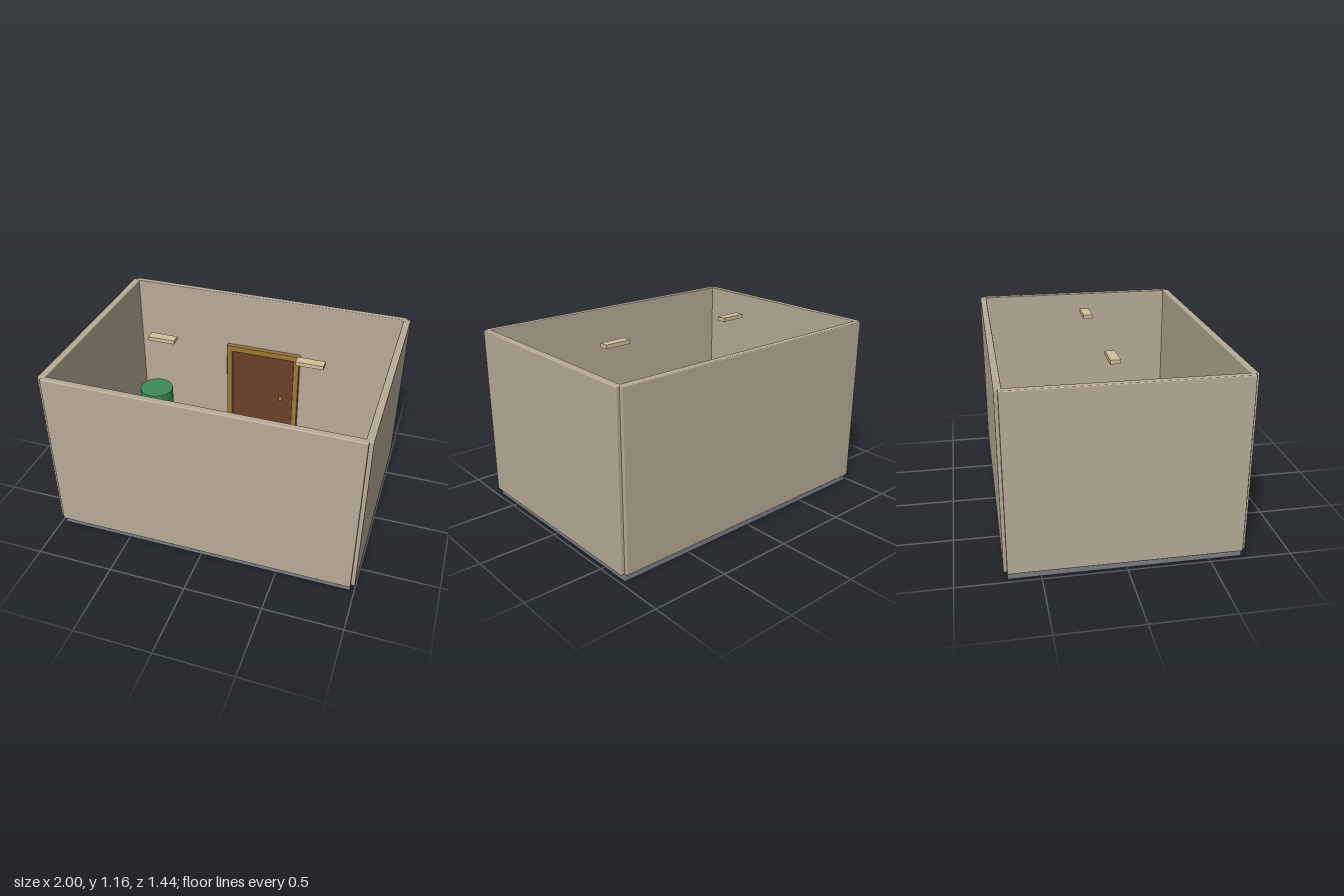
import * as THREE from 'three';
import { RoundedBoxGeometry } from 'three/addons/geometries/RoundedBoxGeometry.js';

const mat = (color) => new THREE.MeshStandardMaterial({ color });
const WALL = mat(0xb8ab98), FLOOR = mat(0x7b7f84), TRIM = mat(0x9c7834);
const WOOD = mat(0x7a4529), DOOR = mat(0x6e3f29), LEAF = mat(0x3f8b58);
const LIGHT = mat(0xd2c29c), METAL = mat(0xb08d3c);

export function createModel() {
  const room = new THREE.Group();
  room.name = 'room';

  // Box given by its min and max corners, optionally with eased edges
  const box = (name, material, [x0, y0, z0], [x1, y1, z1], bevel = 0, parent = room) => {
    const size = [x1 - x0, y1 - y0, z1 - z0];
    const geometry = bevel
      ? new RoundedBoxGeometry(...size, 2, bevel)
      : new THREE.BoxGeometry(...size);
    const mesh = new THREE.Mesh(geometry, material);
    mesh.position.set((x0 + x1) / 2, (y0 + y1) / 2, (z0 + z1) / 2);
    mesh.name = name;
    parent.add(mesh);
    return mesh;
  };

  // Floor slab and the four walls
  box('floor', FLOOR, [-0.975, 0, -0.697], [0.975, 0.05, 0.697], 0.006);
  box('backWall', WALL, [-0.975, 0.05, -0.718], [0.975, 1.16, -0.675], 0.006);
  box('frontWall', WALL, [-0.975, 0.05, 0.675], [0.975, 1.16, 0.718], 0.006);
  box('rightWall', WALL, [-1, 0.05, -0.697], [-0.955, 1.16, 0.697], 0.006);
  box('leftWall', WALL, [0.955, 0.05, -0.697], [1, 1.16, 0.697], 0.006);

  // Skirting along the back and both sides
  box('backSkirting', TRIM, [-0.955, 0.05, -0.675], [0.955, 0.11, -0.656], 0.003);
  box('rightSkirting', TRIM, [-0.955, 0.05, -0.675], [-0.938, 0.11, 0.675], 0.003);
  box('leftSkirting', TRIM, [0.938, 0.05, -0.675], [0.955, 0.11, 0.675], 0.003);

  // Door with its frame and knob
  const door = new THREE.Group();
  door.name = 'door';
  room.add(door);
  box('doorPanel', DOOR, [-0.235, 0.05, -0.675], [0.235, 0.72, -0.653], 0.003, door);
  box('doorJambRight', TRIM, [-0.273, 0.05, -0.678], [-0.232, 0.76, -0.64], 0.005, door);
  box('doorJambLeft', TRIM, [0.232, 0.05, -0.678], [0.273, 0.76, -0.64], 0.005, door);
  box('doorHeader', TRIM, [-0.273, 0.715, -0.678], [0.273, 0.76, -0.64], 0.005, door);
  const knob = new THREE.Mesh(new THREE.SphereGeometry(0.014, 16, 12), METAL);
  knob.name = 'doorKnob';
  knob.position.set(0.145, 0.38, -0.636);
  door.add(knob);

  // Counter
  const counter = new THREE.Group();
  counter.name = 'counter';
  room.add(counter);
  box('counterBody', WOOD, [-0.47, 0.05, -0.315], [0.47, 0.345, -0.14], 0.005, counter);
  box('counterTop', WOOD, [-0.483, 0.34, -0.326], [0.483, 0.375, -0.125], 0.008, counter);

  // Potted plant in the back corner
  const plant = new THREE.Group();
  plant.name = 'plant';
  plant.position.set(-0.782, 0.05, -0.475);
  room.add(plant);
  const pot = new THREE.Mesh(new THREE.CylinderGeometry(0.085, 0.065, 0.12, 24), WOOD);
  pot.name = 'pot';
  pot.position.y = 0.06;
  const foliage = new THREE.Mesh(new THREE.CylinderGeometry(0.122, 0.122, 0.22, 32), LEAF);
  foliage.name = 'foliage';
  foliage.position.y = 0.23;
  plant.add(pot, foliage);

  // Pair of hanging light panels
  for (const x of [-0.488, 0.488]) {
    box('ceilingLight', LIGHT, [x - 0.088, 1.12, -0.031], [x + 0.088, 1.145, 0.031]);
  }

  return room;
}
